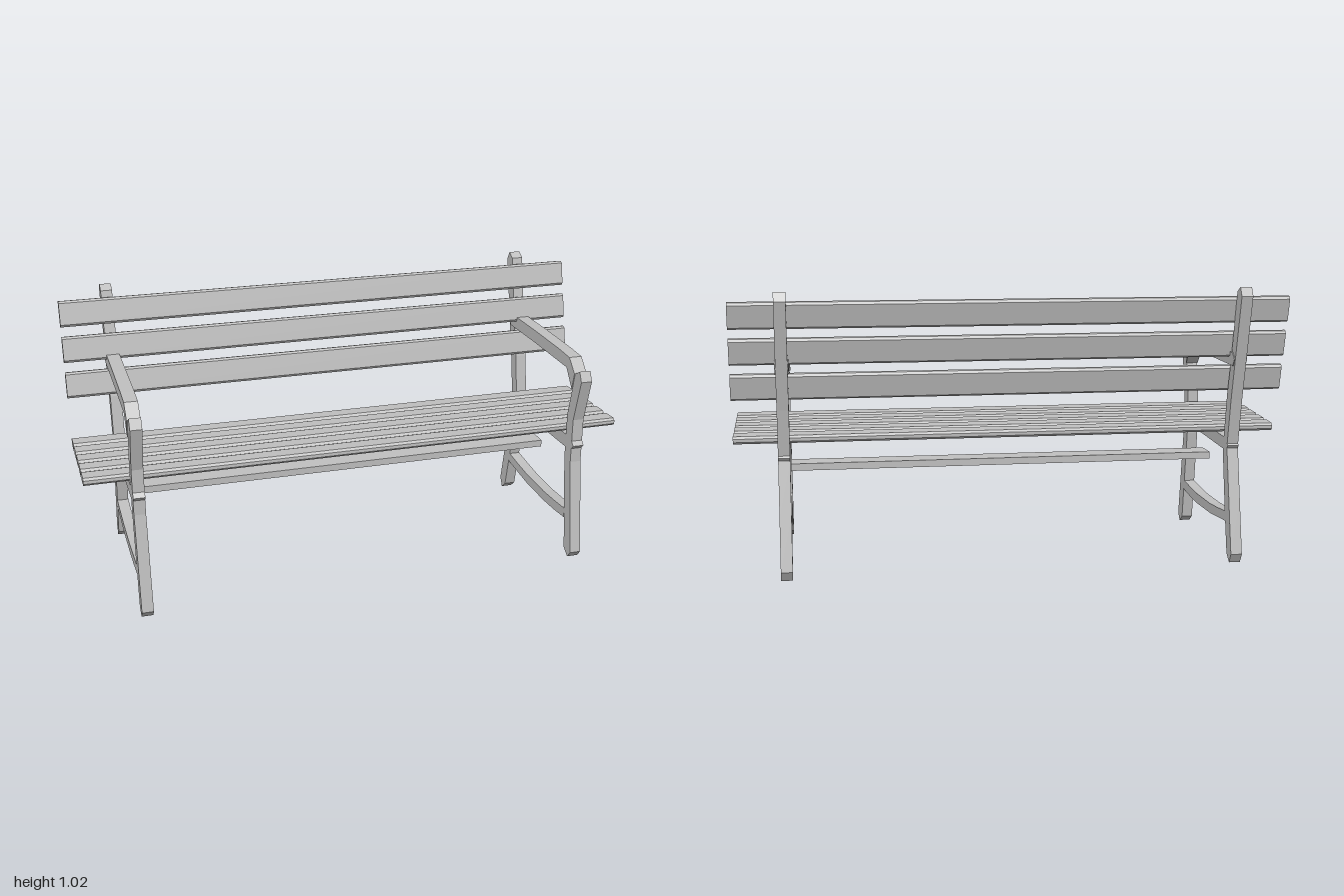
import * as THREE from 'three';

const FRAME_X = 0.82, FRAME_W = 0.042;

// Side profile given as [z, y] points, extruded along x and centred on x = 0
function extrudeProfile(points, width) {
  const shape = new THREE.Shape(points.map(([z, y]) => new THREE.Vector2(z, y)));
  const geo = new THREE.ExtrudeGeometry(shape, { depth: width, bevelEnabled: false });
  geo.translate(0, 0, -width / 2);
  geo.rotateY(-Math.PI / 2);
  return geo;
}

// Slat cross-section: a rectangle with chamfered corners
function slatProfile(length, thick, c = 0.008) {
  const a = length / 2, b = thick / 2;
  return [[a - c, -b], [a, -b + c], [a, b - c], [a - c, b],
    [-a + c, b], [-a, b - c], [-a, -b + c], [-a + c, -b]];
}

export function createModel() {
  const group = new THREE.Group();
  const grey = new THREE.MeshStandardMaterial({ color: 0xc0c0c0 });
  grey.name = 'bench grey';

  const add = (name, geo, parent = group) => {
    const mesh = new THREE.Mesh(geo, grey);
    mesh.name = name;
    parent.add(mesh);
    return mesh;
  };

  // Parts of one side frame
  const frameParts = {
    frontLeg: [[0.373, 0.027], [0.35, 0], [0.316, 0.024], [0.268, 0.385], [0.268, 0.56],
      [0.295, 0.67], [0.31, 0.735], [0.346, 0.756], [0.365, 0.72], [0.32, 0.555],
      [0.32, 0.47], [0.335, 0.455], [0.32, 0.44], [0.32, 0.385]],
    backLeg: [[-0.278, 0.027], [-0.31, 0], [-0.33, 0.035], [-0.29, 0.225], [-0.249, 0.42],
      [-0.256, 0.43], [-0.25, 0.437], [-0.281, 0.605], [-0.37, 0.99], [-0.351, 1.022],
      [-0.319, 1.005], [-0.265, 0.74], [-0.233, 0.618], [-0.2, 0.41], [-0.243, 0.185]],
    armrest: [[0.295, 0.67], [0.31, 0.735], [0.26, 0.782], [0.17, 0.785], [-0.05, 0.785],
      [-0.29, 0.781], [-0.315, 0.758], [-0.295, 0.733], [-0.05, 0.737], [0.24, 0.737]],
    seatRail: [[0.275, 0.478], [-0.207, 0.455], [-0.2, 0.41], [0.275, 0.428]],
    stretcher: [[0.298, 0.181], [0.295, 0.143], [0.2, 0.133], [0.105, 0.128], [-0.06, 0.129],
      [-0.15, 0.136], [-0.25, 0.144], [-0.248, 0.181], [-0.15, 0.172], [-0.06, 0.166],
      [0.105, 0.166], [0.2, 0.172]],
  };
  for (const side of [-1, 1]) {
    const frame = new THREE.Group();
    frame.name = side > 0 ? 'leftFrame' : 'rightFrame';
    frame.position.x = side * FRAME_X;
    for (const [name, points] of Object.entries(frameParts)) {
      add(name, extrudeProfile(points, name === 'armrest' ? FRAME_W + 0.006 : FRAME_W), frame);
    }
    group.add(frame);
  }

  // Full-width slat; angle is its tilt in the side profile
  const addSlat = (name, length, thick, z, y, angle) => {
    const slat = add(name, extrudeProfile(slatProfile(length, thick), 2));
    slat.position.set(0, y, z);
    slat.rotation.x = -angle;
  };
  for (let i = 0; i < 5; i++) {
    addSlat('seatSlat', 0.075, 0.028, 0.225 - i * 0.0888, 0.501 - i * 0.0046, 0.052);
  }
  for (let i = 0; i < 3; i++) {
    addSlat('backSlat', 0.096, 0.028, -0.225 - i * 0.0317, 0.682 + i * 0.1278, Math.PI / 2 + 0.23);
  }

  // Lengthwise board under the seat, open at both ends
  const board = new THREE.BoxGeometry(1.6, 0.026, 0.09);
  board.setIndex(Array.from(board.index.array).slice(12));
  board.clearGroups();
  add('underSeatBoard', board).position.set(0, 0.352, 0.01);

  return group;
}
